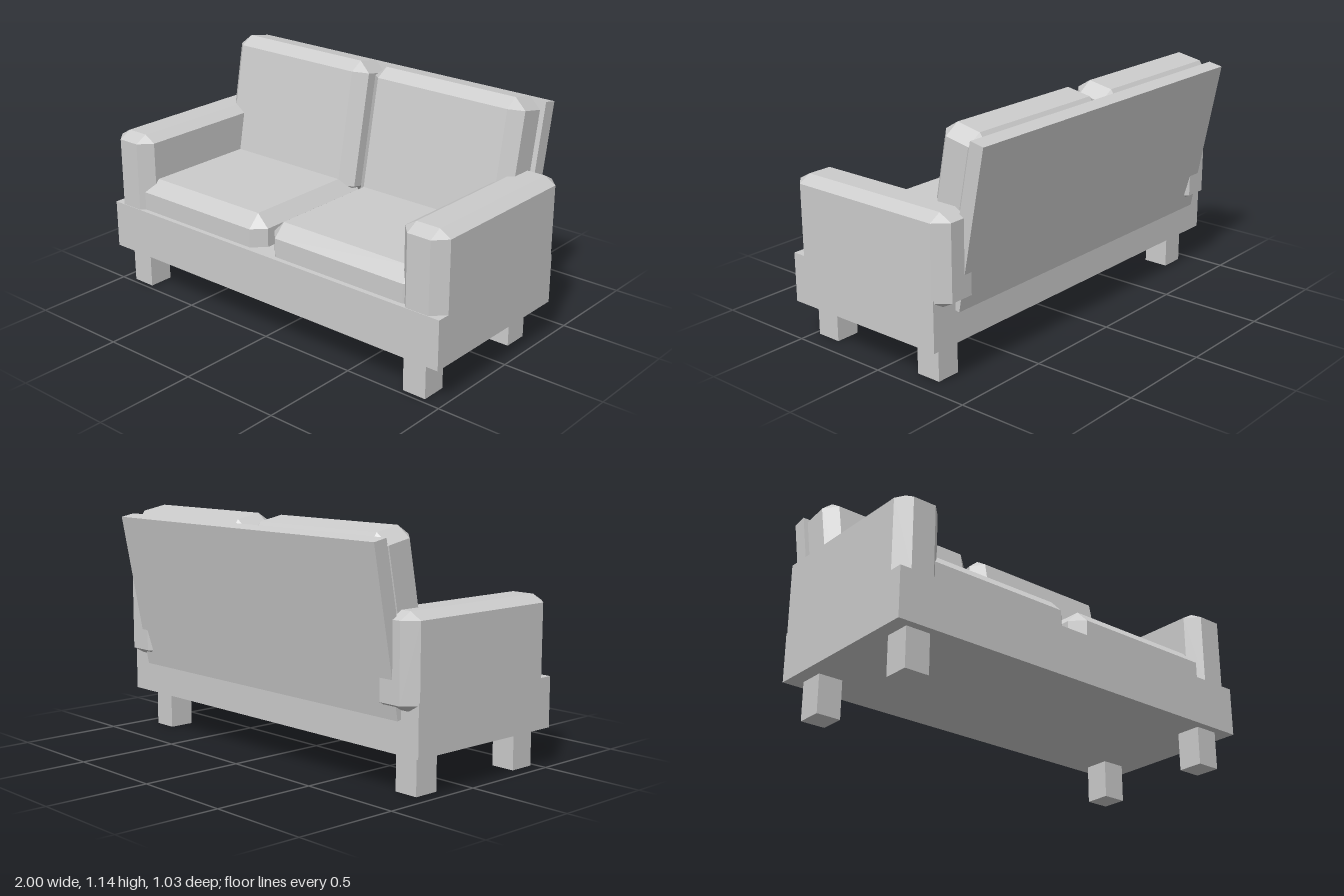
import * as THREE from 'three';
import { ConvexGeometry } from 'three/addons/geometries/ConvexGeometry.js';

const material = new THREE.MeshStandardMaterial({ color: 0xcccccc, flatShading: true });

// All parts are given by their ranges [min, max] along x, y and z.
function place(geometry, name, ranges) {
  const mesh = new THREE.Mesh(geometry, material);
  mesh.name = name;
  mesh.position.set(...ranges.map(([a, b]) => (a + b) / 2));
  return mesh;
}

function box(name, x, y, z) {
  const ranges = [x, y, z];
  return place(new THREE.BoxGeometry(...ranges.map(([a, b]) => b - a)), name, ranges);
}

// Box with every edge chamfered and every corner cut to a triangle
function chamferedBox(name, x, y, z, bevel) {
  const ranges = [x, y, z];
  const half = ranges.map(([a, b]) => (b - a) / 2);
  const points = [];
  for (const sx of [-1, 1]) for (const sy of [-1, 1]) for (const sz of [-1, 1]) {
    const sign = [sx, sy, sz];
    for (let face = 0; face < 3; face++) {
      points.push(new THREE.Vector3(
        ...half.map((h, i) => sign[i] * (i === face ? h : h - bevel[i]))));
    }
  }
  return place(new ConvexGeometry(points), name, ranges);
}

export function createModel() {
  const sofa = new THREE.Group();
  sofa.name = 'sofa';

  // Base frame
  sofa.add(box('base', [-1, 1], [0.185, 0.422], [-0.345, 0.515]));

  // Four square legs
  for (const [side, x] of [['right', -0.872], ['left', 0.85]]) {
    for (const [end, z] of [['Front', 0.4125], ['Back', -0.22]]) {
      sofa.add(box(`${side}${end}Leg`, [x - 0.06, x + 0.06], [0, 0.187], [z - 0.0625, z + 0.0625]));
    }
  }

  // Armrests, overhanging the base at the back
  for (const [name, x] of [['rightArm', [-1, -0.77]], ['leftArm', [0.765, 1]]]) {
    sofa.add(chamferedBox(name, x, [0.375, 0.797], [-0.4, 0.512], [0.058, 0.034, 0.062]));
  }

  // Leaning backrest: panel and cushions share one tilt
  const backrest = new THREE.Group();
  backrest.name = 'backrest';
  backrest.rotation.x = -0.19;
  backrest.add(box('backPanel', [-0.9, 0.865], [0.397, 1.163], [-0.296, -0.224]));
  sofa.add(backrest);

  // Seat and back cushions
  for (const [side, x] of [['right', [-0.89, -0.04]], ['left', [0, 0.85]]]) {
    sofa.add(chamferedBox(`${side}SeatCushion`, x, [0.33, 0.575], [-0.28, 0.49], [0.06, 0.062, 0.06]));
    backrest.add(chamferedBox(`${side}BackCushion`, x, [0.51, 1.177], [-0.263, -0.028], [0.06, 0.052, 0.056]));
  }

  return sofa;
}
